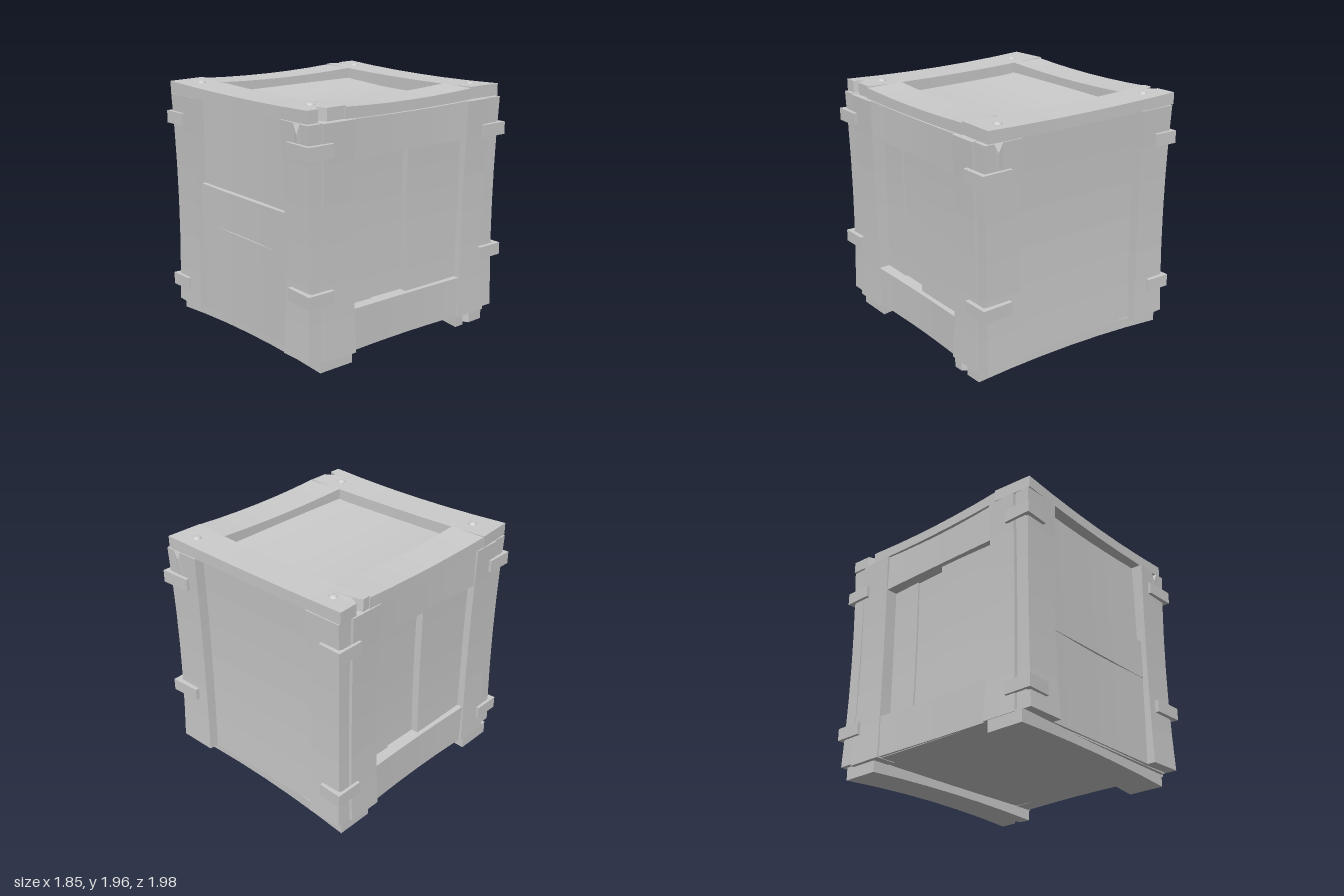
import * as THREE from 'three';

const mat = new THREE.MeshStandardMaterial({ color: 0xcccccc, flatShading: true });
const smooth = new THREE.MeshStandardMaterial({ color: 0xcccccc });

// Worn board on four anticlockwise corners, from depth d0 to d1. Along its length
// the width narrows by bow, the two faces shift by front and back, and one end
// may carry a V-shaped split: notch = [end 0 or 1, place across 0..1, depth]
function board(parent, name, corners, d0, d1, { bow = 0.012, front = -0.012, back = 0, notch = [0, 0.5, 0], along } = {}) {
  const dist = (p, q) => Math.hypot(p[0] - q[0], p[1] - q[1]);
  let [a, b, c, d] = corners;
  const lengthwise = along ? along === 'u' : dist(a, b) > dist(a, d);
  if (!lengthwise) [a, b, c, d] = [b, c, d, a];
  const length = dist(a, b), width = dist(a, d);
  const [end, at, cut] = notch;
  const rows = [0, at - 0.12, at, at + 0.12, 1];
  const geo = new THREE.BoxGeometry(1, 1, 1, 6, 4, 1);
  const p = geo.attributes.position;
  for (let i = 0; i < p.count; i++) {
    let s = p.getX(i) + 0.5;
    const row = Math.round((p.getY(i) + 0.5) * 4);
    const curve = 4 * s * (1 - s);
    const r = 0.5 + (rows[row] - 0.5) * (1 - 2 * bow * curve / width);
    const depth = p.getZ(i) > 0 ? d1 + front * curve : d0 + back * curve;
    if (row === 2 && Math.abs(s - end) < 0.01) s += (end ? -cut : cut) / length;
    const mix = (k) => (a[k] * (1 - s) + b[k] * s) * (1 - r) + (d[k] * (1 - s) + c[k] * s) * r;
    p.setXYZ(i, mix(0), mix(1), depth);
  }
  geo.computeVertexNormals();
  const mesh = new THREE.Mesh(geo, mat);
  mesh.name = name;
  parent.add(mesh);
}

const rect = (u0, v0, u1, v1) => [[u0, v0], [u1, v0], [u1, v1], [u0, v1]];

function group(parent, name, rx = 0, ry = 0) {
  const g = new THREE.Group();
  g.name = name;
  g.rotation.set(rx, ry, 0);
  parent.add(g);
  return g;
}

export function createModel() {
  const model = new THREE.Group();
  model.name = 'woodenCrate';

  // Solid core closing the inside
  const core = new THREE.Mesh(new THREE.BoxGeometry(1.5, 1.7, 1.69), mat);
  core.position.y = 0.96;
  core.name = 'core';
  model.add(core);

  // Front and back: two corner posts over recessed planks
  for (const [name, angle] of [['front', 0], ['back', Math.PI]]) {
    const g = group(model, name + 'Side', 0, angle);
    const isFront = name === 'front';
    board(g, name + 'Post', [[-0.88, 0.11], [-0.56, 0.11], [-0.57, 1.86], [-0.89, 1.86]], 0.84, 0.963,
      { front: -0.02, notch: isFront ? [1, 0.5, 0] : [1, 0.65, 0.07] });
    board(g, name + 'Post', [[0.59, 0.11], [0.89, 0.12], [0.89, 1.86], [0.58, 1.86]], 0.84, 0.963,
      { front: -0.02, notch: isFront ? [1, 0.4, 0.08] : [1, 0.5, 0] });
    if (isFront) {
      board(g, 'lowerPlank', rect(-0.6, 0.11, 0.62, 0.843), 0.8, 0.895, { bow: 0.008 });
      board(g, 'middlePlank', rect(-0.6, 0.835, 0.62, 1.165), 0.8, 0.9, { bow: 0.01 });
      board(g, 'upperPlank', rect(-0.6, 1.16, 0.62, 1.86), 0.8, 0.865, { bow: 0 });
    } else {
      board(g, 'backPanel', rect(-0.6, 0.11, 0.62, 1.86), 0.8, 0.885, { bow: 0, front: -0.025 });
    }
  }

  // Left and right: framed sides with three upright planks
  for (const [name, angle] of [['right', Math.PI / 2], ['left', -Math.PI / 2]]) {
    const g = group(model, name + 'Side', 0, angle);
    board(g, name + 'Post', [[-0.83, 0.1], [-0.53, 0.1], [-0.54, 1.86], [-0.83, 1.86]], 0.73, 0.905, { front: -0.02 });
    board(g, name + 'Post', [[0.55, 0.1], [0.84, 0.1], [0.83, 1.86], [0.59, 1.86]], 0.73, 0.905, { front: -0.02 });
    board(g, name + 'UpperRail', [[-0.55, 1.555], [0.6, 1.555], [0.6, 1.86], [-0.55, 1.86]], 0.73, 0.885);
    board(g, name + 'LowerRail', [[-0.55, 0.11], [0.6, 0.1], [0.6, 0.43], [-0.55, 0.44]], 0.73, 0.885, { bow: 0.004 });
    for (const [u0, u1, d] of [[-0.56, -0.285, 0.79], [-0.285, 0.03, 0.775], [0.03, 0.6, 0.835]])
      board(g, name + 'Plank', rect(u0, 0.4, u1, 1.6), 0.73, d, { bow: 0, front: -0.008 });
  }

  // Lid frame with split ends over a sagging panel
  const lid = group(model, 'lid', -Math.PI / 2);
  const bend = { front: -0.02, back: -0.012, bow: 0.015 };
  board(lid, 'lidFrontBoard', [[-0.88, -0.97], [0.87, -0.95], [0.865, -0.61], [-0.905, -0.65]], 1.865, 1.96,
    { ...bend, notch: [1, 0.4, 0.08] });
  board(lid, 'lidBackBoard', [[-0.89, 0.65], [0.86, 0.655], [0.865, 0.96], [-0.905, 0.96]], 1.865, 1.96,
    { ...bend, notch: [0, 0.35, 0.08] });
  board(lid, 'lidLeftBoard', [[0.56, -0.64], [0.88, -0.62], [0.87, 0.66], [0.56, 0.66]], 1.865, 1.952, { ...bend, bow: 0.006 });
  board(lid, 'lidRightBoard', [[-0.9, -0.66], [-0.6, -0.66], [-0.6, 0.66], [-0.9, 0.66]], 1.865, 1.952, { ...bend, bow: 0.006 });
  board(lid, 'lidPanel', rect(-0.63, -0.68, 0.6, 0.68), 1.77, 1.867, { bow: 0, front: -0.03, along: 'u' });

  // Floor and the two slightly skewed skids beneath it
  const base = group(model, 'base', -Math.PI / 2);
  board(base, 'floor', rect(-0.86, -0.87, 0.86, 0.87), 0.105, 0.16, { bow: 0, front: 0 });
  const arch = { front: 0, back: 0.03 };
  board(base, 'frontSkid', [[-0.9, -0.9], [0.865, -0.84], [0.865, -0.535], [-0.9, -0.59]], 0.008, 0.112, arch);
  board(base, 'backSkid', [[-0.87, 0.6], [0.885, 0.55], [0.88, 0.85], [-0.87, 0.91]], 0.008, 0.112,
    { ...arch, notch: [1, 0.4, 0.06] });

  // Angle straps wrapped around the corners: x sign, z sign, mid heights, reach
  const straps = [[1, 1, 1.67, 0.6, 0.67], [-1, 1, 1.67, 0.285, 0.71],
    [1, -1, 1.61, 0.605, 0.67], [-1, -1, 1.61, 0.39, 0.72]];
  for (const [sx, sz, high, low, reach] of straps) {
    const outer = sx > 0 ? 0.93 : 0.92;
    const pts = [[reach, 0.94], [0.895, 0.94], [0.895, 0.76], [outer, 0.76], [outer, 0.99], [reach, 0.98]];
    const shape = new THREE.Shape(pts.map(([x, z]) => new THREE.Vector2(sx * x, -sz * z)));
    for (const y of [high, low]) {
      const strap = new THREE.Mesh(new THREE.ExtrudeGeometry(shape, { depth: 0.1, bevelEnabled: false }), mat);
      strap.rotation.x = -Math.PI / 2;
      strap.position.y = y - 0.05;
      strap.name = 'cornerStrap';
      model.add(strap);
    }
  }

  // Domed nail heads on the lid
  for (const [x, z] of [[-0.71, -0.82], [0.69, -0.83], [-0.69, 0.8], [0.66, 0.76]]) {
    const nail = new THREE.Mesh(new THREE.SphereGeometry(0.036, 12, 6, 0, Math.PI * 2, 0, Math.PI / 2), smooth);
    nail.scale.y = 0.6;
    nail.position.set(x, 1.948, z);
    nail.name = 'nail';
    model.add(nail);
  }
  return model;
}
